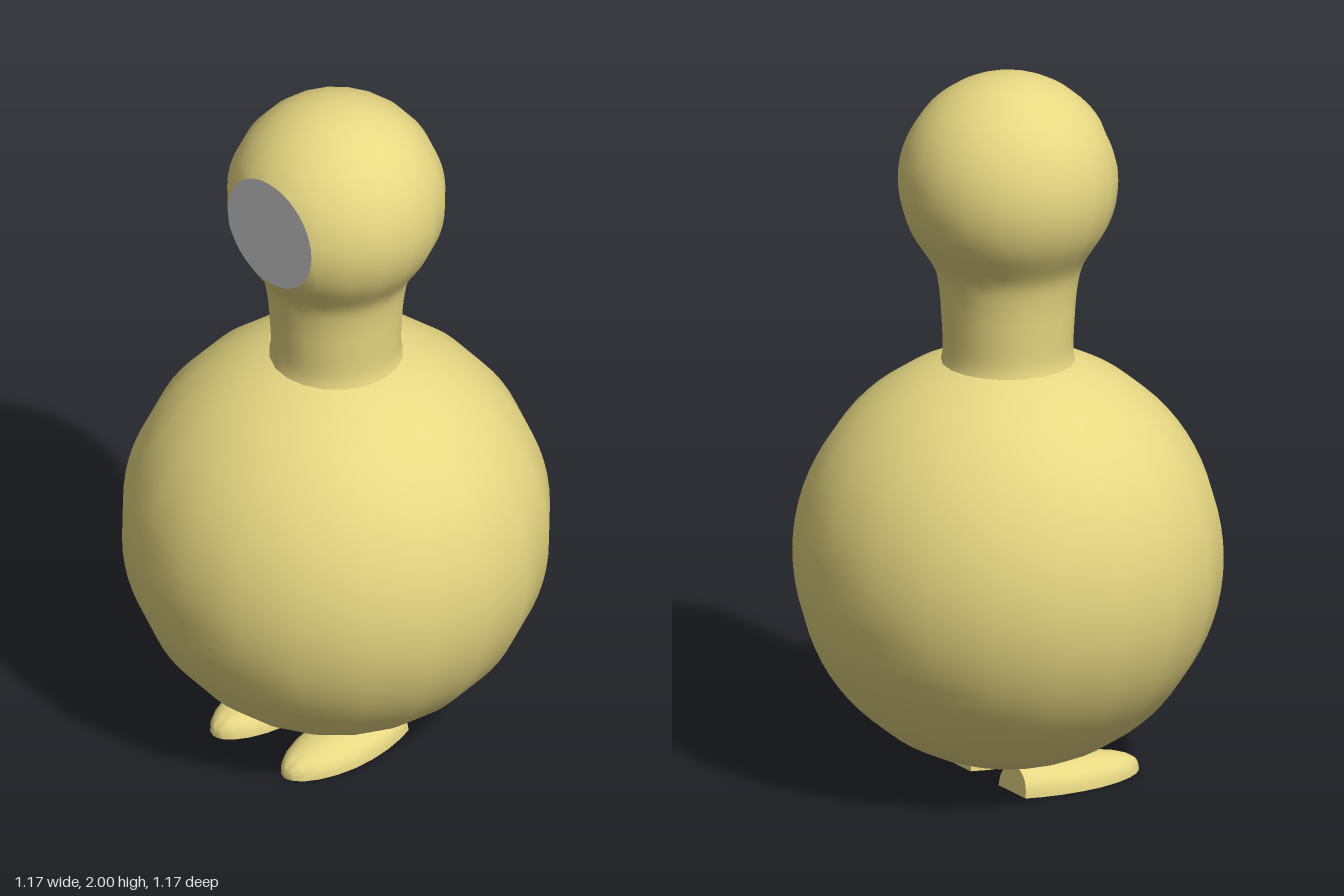
import * as THREE from 'three';
import { toCreasedNormals } from 'three/addons/utils/BufferGeometryUtils.js';

const SIDES = 20;
const HEAD_Y = 1.7, FACE_Z = 0.25, FACE_R = 0.165;
const yellow = new THREE.MeshStandardMaterial({ color: 0xe7d883 });
const grey = new THREE.MeshStandardMaterial({ color: 0xcccccc });

function part(name, geometry, material) {
  const mesh = new THREE.Mesh(geometry, material);
  mesh.name = name;
  return mesh;
}

// Points on a circular arc from angle a0 to a1 (measured from straight down)
function arc(radius, y, a0, a1, n) {
  return Array.from({ length: n + 1 }, (_, i) => {
    const a = a0 + (a1 - a0) * i / n;
    return new THREE.Vector2(Math.max(0, radius * Math.sin(a)), y - radius * Math.cos(a));
  });
}

// Neck flowing into a round head, with the face cut flat
function headGeometry() {
  const head = arc(0.3, HEAD_Y, 0.96, Math.PI, 32);
  const neck = new THREE.SplineCurve([
    ...[[0.186, 1.175], [0.178, 1.22], [0.181, 1.3], [0.188, 1.39], [0.204, 1.46]]
      .map(([r, y]) => new THREE.Vector2(r, y)),
    head[0], head[2],
  ]).getPoints(30).filter((p) => p.y < head[0].y - 0.004);
  const geometry = new THREE.LatheGeometry([...neck, ...head], SIDES);
  const p = geometry.attributes.position;
  for (let i = 0; i < p.count; i++) {
    const x = p.getX(i), y = p.getY(i) - HEAD_Y;
    if (p.getZ(i) < 0.238) continue;
    // vertices near the cut slide onto its rim, those beyond it are flattened
    const k = Math.min(1, FACE_R / Math.max(Math.hypot(x, y), 0.001));
    p.setXYZ(i, x * k, HEAD_Y + y * k, FACE_Z);
  }
  return geometry;
}

// Foot: domed cross-sections from a flat heel to a rounded toe
function footGeometry() {
  const sections = [ // z, half width, height
    [-0.075, 0.068, 0.073], [-0.03, 0.083, 0.075], [0.03, 0.095, 0.077], [0.09, 0.1, 0.077],
    [0.15, 0.098, 0.074], [0.21, 0.087, 0.067], [0.26, 0.069, 0.057], [0.295, 0.048, 0.045],
    [0.317, 0.026, 0.031], [0.325, 0.006, 0.012],
  ];
  const n = 16;
  const positions = [], index = [];
  for (const [z, w, h] of sections) {
    for (let i = 0; i <= n; i++) {
      const a = Math.PI * i / n;
      const y = i === n ? 0 : h * Math.pow(Math.sin(a), 0.85);
      // the heel leans slightly forward at the top
      positions.push(w * Math.cos(a), y, z < -0.07 ? z + 0.12 * y : z);
    }
  }
  const row = n + 1, last = (sections.length - 1) * row;
  for (let s = 0; s < last; s += row) {
    for (let i = 0; i < n; i++) {
      const a = s + i, b = a + 1, c = a + row, d = b + row;
      index.push(a, b, c, b, d, c);
    }
    index.push(s, s + row, s + n, s + n, s + row, s + row + n); // sole
  }
  for (let i = 1; i < n; i++) {
    index.push(0, i + 1, i); // heel
    index.push(last, last + i, last + i + 1); // toe
  }
  const geometry = new THREE.BufferGeometry();
  geometry.setAttribute('position', new THREE.Float32BufferAttribute(positions, 3));
  geometry.setIndex(index);
  return toCreasedNormals(geometry, 0.9);
}

export function createModel() {
  const group = new THREE.Group();
  group.name = 'bird';

  group.add(part('body', new THREE.LatheGeometry(arc(0.587, 0.63, 0, Math.PI, 40), SIDES), yellow));
  group.add(part('headAndNeck', headGeometry(), yellow));

  // Flat round face where the beak would attach
  const face = part('facePlate', new THREE.CircleGeometry(0.163, 40), grey);
  face.position.set(0, HEAD_Y, FACE_Z + 0.001);
  group.add(face);

  const foot = footGeometry();
  for (const [name, x] of [['leftFoot', 0.138], ['rightFoot', -0.138]]) {
    const mesh = part(name, foot, yellow);
    mesh.position.x = x;
    group.add(mesh);
  }
  return group;
}
